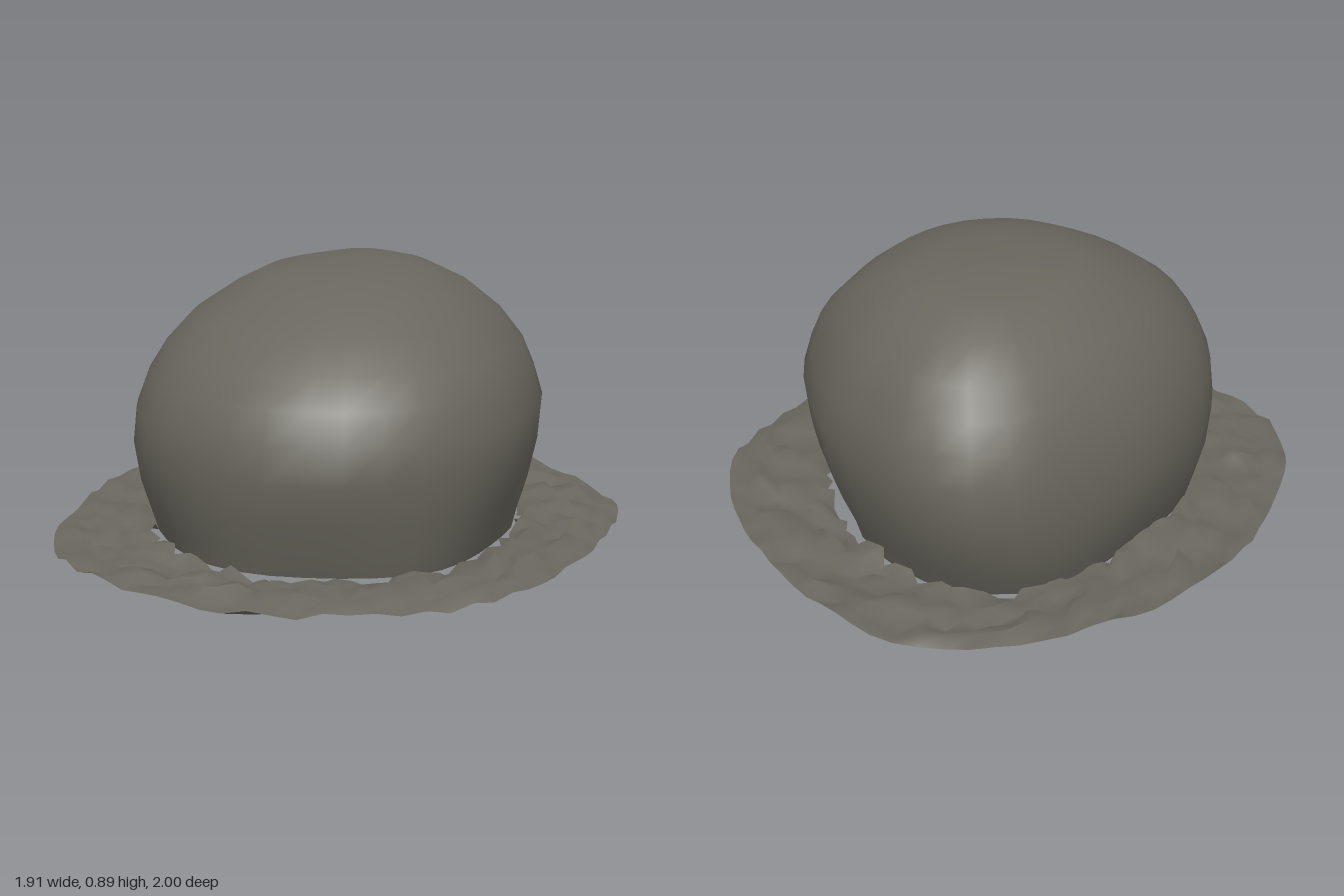
import * as THREE from 'three';

// Closed outline through [x, z] points, sampled evenly
function outline(points, count) {
  const curve = new THREE.CatmullRomCurve3(points.map(([x, z]) => new THREE.Vector3(x, 0, z)), true);
  return curve.getSpacedPoints(count).slice(0, count);
}

// Joins rings of equal length into one smooth surface, from outer/lower to inner/upper
function loft(rings) {
  const n = rings[0].length, pos = [], index = [];
  rings.forEach(r => r.forEach(p => pos.push(p.x, p.y, p.z)));
  for (let i = 0; i < rings.length - 1; i++) {
    for (let j = 0; j < n; j++) {
      const a = i * n + j, b = i * n + (j + 1) % n, c = a + n, d = b + n;
      index.push(a, c, b, b, c, d);
    }
  }
  const g = new THREE.BufferGeometry();
  g.setAttribute('position', new THREE.Float32BufferAttribute(pos, 3));
  g.setIndex(index);
  g.computeVertexNormals();
  return g;
}

function seeded(seed) {
  return () => (seed = (seed * 16807) % 2147483647) / 2147483647;
}

const ROCK = [[0.3, -0.78], [0.45, -0.74], [0.58, -0.62], [0.66, -0.42], [0.715, -0.22], [0.69, 0.05],
  [0.63, 0.28], [0.5, 0.45], [0.3, 0.63], [0.1, 0.72], [-0.1, 0.745], [-0.35, 0.68], [-0.52, 0.54],
  [-0.63, 0.35], [-0.69, 0.1], [-0.65, -0.12], [-0.52, -0.37], [-0.27, -0.59], [0, -0.71]];
const SKIRT = [[0.3, -1], [0.5, -0.98], [0.74, -0.85], [0.85, -0.62], [0.93, -0.3], [0.95, 0], [0.92, 0.22],
  [0.84, 0.43], [0.6, 0.67], [0.35, 0.85], [0.1, 0.97], [-0.1, 1], [-0.35, 0.95], [-0.6, 0.81],
  [-0.8, 0.56], [-0.92, 0.25], [-0.955, 0], [-0.88, -0.25], [-0.7, -0.5], [-0.5, -0.72], [-0.25, -0.88], [0, -0.97]];

// Rock levels: height, then extent left, right, back, front
const LEVELS = [
  [0.05, -0.62, 0.61, -0.70, 0.68], [0.12, -0.64, 0.63, -0.73, 0.70], [0.22, -0.67, 0.67, -0.76, 0.72],
  [0.35, -0.69, 0.70, -0.775, 0.745], [0.47, -0.68, 0.715, -0.76, 0.735], [0.57, -0.635, 0.69, -0.73, 0.69],
  [0.66, -0.57, 0.655, -0.68, 0.63], [0.75, -0.46, 0.60, -0.61, 0.50], [0.83, -0.31, 0.50, -0.50, 0.37],
  [0.88, -0.19, 0.40, -0.38, 0.21], [0.90, -0.02, 0.32, -0.28, 0.08], [0.91, 0.16, 0.161, -0.12, -0.119]
];

export function createModel() {
  const stone = new THREE.MeshStandardMaterial({ color: 0x68665d, side: THREE.DoubleSide });
  stone.name = 'stone';
  const group = new THREE.Group();
  const { lerp, mapLinear } = THREE.MathUtils;

  // Boulder: an open dome whose foot is slightly fluted
  const base = outline(ROCK, 36);
  const rockRings = LEVELS.map(([y, x0, x1, z0, z1]) => base.map((p, j) => {
    const foot = Math.max(0, 1 - y / 0.35);
    const k = 1 - foot * 0.05 * (0.5 + 0.5 * Math.sin(j * 1.05));
    return new THREE.Vector3(
      mapLinear(p.x, -0.69, 0.715, x0, x1) * k, y, mapLinear(p.z, -0.78, 0.745, z0, z1) * k);
  }));
  const boulder = new THREE.Mesh(loft(rockRings), stone);
  boulder.name = 'boulder';
  group.add(boulder);

  // Rubble skirt: a crumpled ring, tilted a little, open under the boulder
  const n = 80, rows = 7, rand = seeded(4217);
  const outer = outline(SKIRT, n), inner = outline(ROCK, n);
  const skirtRings = [];
  for (let i = 0; i <= rows; i++) {
    const t = i / rows;
    skirtRings.push(outer.map((o, j) => {
      const q = inner[j], loose = i === 0 ? 0 : 0.035;
      const x = lerp(o.x, q.x * 0.9, t) + (rand() - 0.5) * loose;
      const z = lerp(o.z, q.z * 0.9, t) + (rand() - 0.5) * loose;
      const rough = (rand() - 0.5) * (i === 0 ? 0.025 : 0.055);
      const heap = 0.04 * Math.sin(Math.PI * t) * Math.max(0, z * 0.8 + x * 0.3);
      return new THREE.Vector3(x, Math.max(0, 0.065 + 0.022 * x - 0.022 * z + heap + rough), z);
    }));
  }
  const skirt = new THREE.Mesh(loft(skirtRings), stone);
  skirt.name = 'rubbleSkirt';
  group.add(skirt);
  return group;
}
